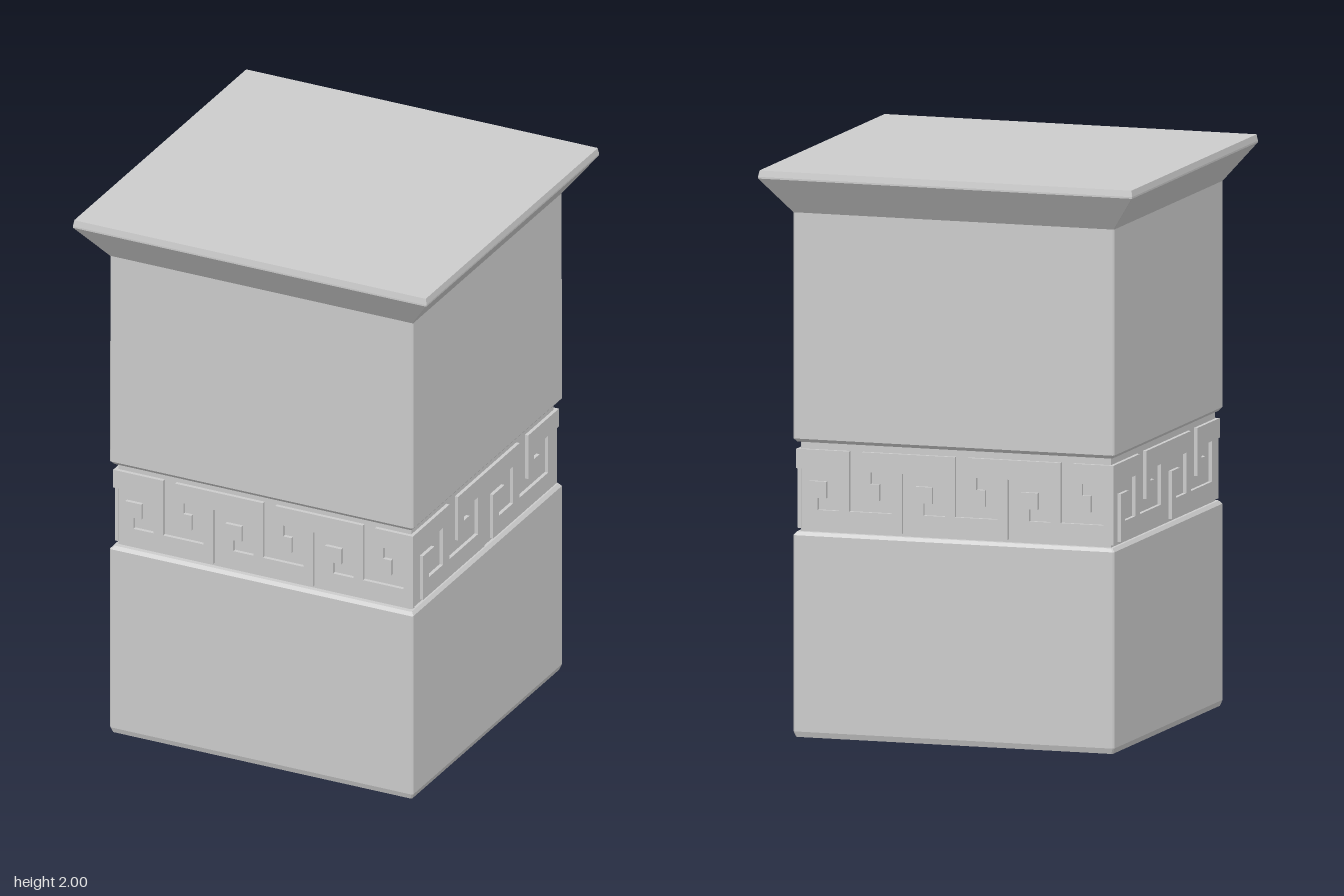
import * as THREE from 'three';

const material = new THREE.MeshStandardMaterial({ color: 0xcccccc, flatShading: true });

// Closed solid from stacked rectangular sections [halfX, halfZ, y] with narrow corner chamfers
function stack(name, sections, c = 0.005) {
  const rings = sections.map(([x, z, y]) => [
    [x, z - c], [x, c - z], [x - c, -z], [c - x, -z],
    [-x, c - z], [-x, z - c], [c - x, z], [x - c, z],
  ].map(([px, pz]) => [px, y, pz]));
  const pos = [];
  const tri = (a, b, d) => pos.push(...a, ...b, ...d);
  for (let r = 0; r < rings.length - 1; r++) {
    for (let i = 0; i < 8; i++) {
      const j = (i + 1) % 8, lo = rings[r], hi = rings[r + 1];
      tri(lo[i], lo[j], hi[j]);
      tri(lo[i], hi[j], hi[i]);
    }
  }
  const bottom = rings[0], top = rings[rings.length - 1];
  for (let i = 1; i < 7; i++) {
    tri(bottom[0], bottom[i + 1], bottom[i]);
    tri(top[0], top[i], top[i + 1]);
  }
  const geo = new THREE.BufferGeometry();
  geo.setAttribute('position', new THREE.Float32BufferAttribute(pos, 3));
  geo.computeVertexNormals();
  const mesh = new THREE.Mesh(geo, material);
  mesh.name = name;
  return mesh;
}

// Hooked groove of the key pattern, as fractions of one cell (width) and of the band (height)
const groove = [
  [9, 0], [9, 32], [21, 32], [21, 21], [15, 21], [15, 13], [30, 13], [30, 40], [0, 40], [0, 0],
].map(([u, v]) => [u / 37, v / 53]);

// Raised band with hooked grooves entering alternately from the bottom and the top
function fretGeometry(width, cell, count, height, depth) {
  const pts = [[0, height]];
  for (let i = 1; i < count; i += 2) {
    for (const [u, v] of [...groove].reverse()) pts.push([(i + u) * cell, (1 - v) * height]);
  }
  pts.push([width, height], [width, 0]);
  for (let i = count - 2; i >= 0; i -= 2) {
    for (const [u, v] of groove) pts.push([(i + u) * cell, v * height]);
  }
  pts.pop(); // the last groove opens onto the corner
  const shape = new THREE.Shape(pts.map(([x, y]) => new THREE.Vector2(x - width / 2, y)));
  return new THREE.ExtrudeGeometry(shape, { depth, bevelEnabled: false });
}

export function createModel() {
  const model = new THREE.Group();
  model.name = 'pedestal';

  // Plinth, recessed core, shaft and flared cap
  model.add(stack('lowerBlock', [
    [0.583, 0.57, 0], [0.59, 0.577, 0.02], [0.59, 0.577, 0.71], [0.58, 0.567, 0.722],
  ]));
  model.add(stack('bandCore', [[0.57, 0.549, 0.715], [0.57, 0.549, 1.045]], 0.001));
  model.add(stack('upperBlock', [
    [0.58, 0.567, 1.038], [0.59, 0.577, 1.05], [0.59, 0.575, 1.845],
  ]));
  model.add(stack('cap', [
    [0.59, 0.575, 1.845], [0.688, 0.667, 1.972], [0.688, 0.667, 1.978], [0.684, 0.663, 2],
  ], 0.002));

  // Key-pattern bands on all four faces
  const long = fretGeometry(1.166, 1.166 / 6, 6, 0.28, 0.014);
  const short = fretGeometry(1.098, 0.27, 4, 0.28, 0.013);
  ['frontBand', 'leftBand', 'backBand', 'rightBand'].forEach((name, i) => {
    const side = i % 2 === 1;
    const mesh = new THREE.Mesh(side ? short : long, material);
    mesh.name = name;
    const angle = i * Math.PI / 2, out = side ? 0.57 : 0.549;
    mesh.rotation.y = angle;
    mesh.position.set(Math.sin(angle) * out, 0.732, Math.cos(angle) * out);
    model.add(mesh);
  });
  return model;
}
